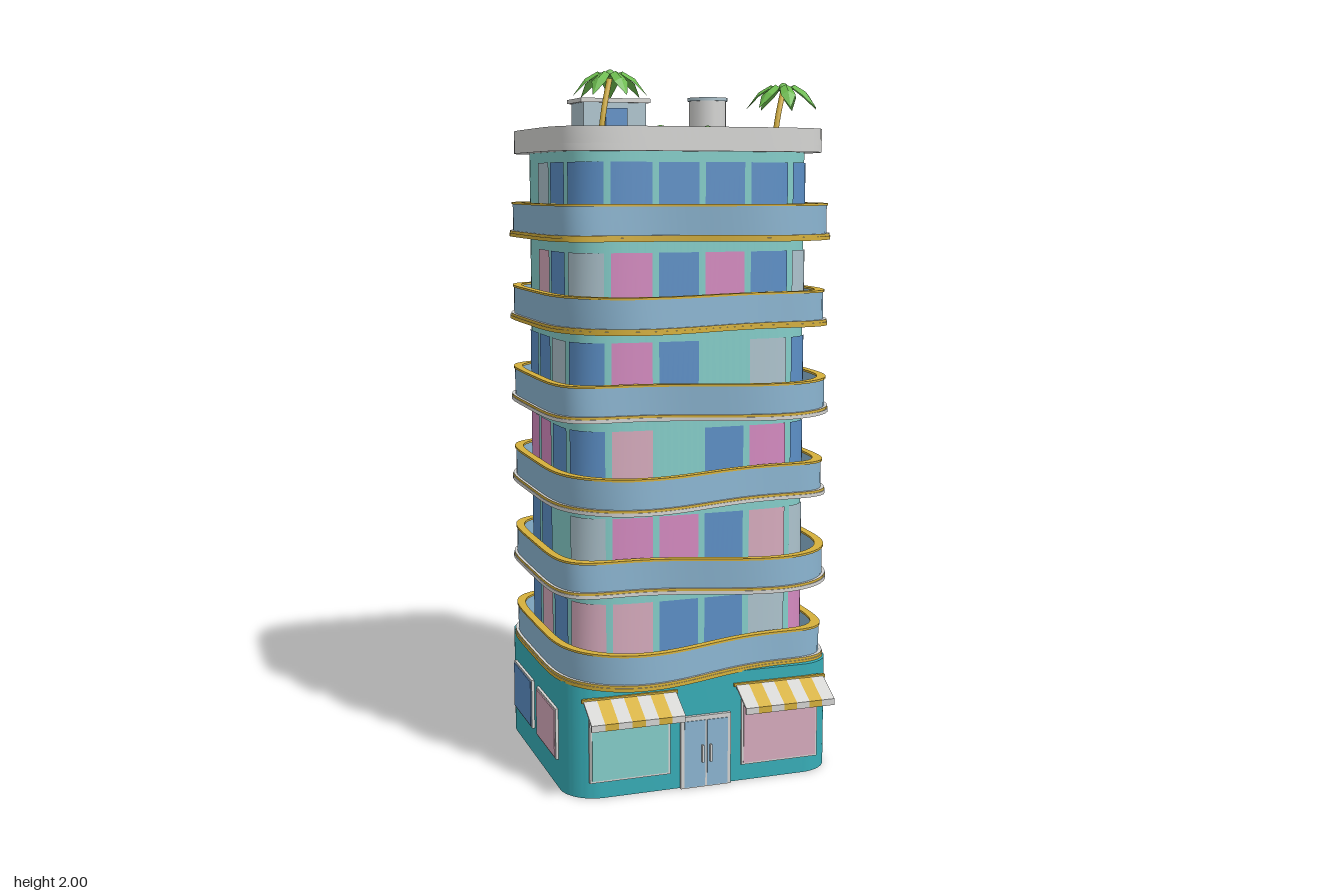
import * as THREE from 'three';
import { toCreasedNormals } from 'three/addons/utils/BufferGeometryUtils.js';

const CZ = -0.04; // tower centre in z

export function createModel() {
  const mat = (name, color, side = THREE.FrontSide) => {
    const m = new THREE.MeshStandardMaterial({ color, side });
    m.name = name;
    return m;
  };
  const teal = mat('teal', 0x37adb7);
  const glass = mat('aqua glass', 0x84cdc9);
  const blue = mat('blue glass', 0x5c8fc6);
  const pink = mat('pink glass', 0xd48ac0);
  const rose = mat('pale pink glass', 0xd6abbd);
  const pale = mat('pale grey blue', 0xadc3cd);
  const sky = mat('balcony blue', 0x8bb5d1);
  const gold = mat('gold', 0xd5b03c);
  const grey = mat('light grey', 0xd4d4d2);
  const green = mat('leaf green', 0x6cbb4e, THREE.DoubleSide);

  const root = new THREE.Group();
  root.name = 'tower';
  const add = (name, geo, material, x = 0, y = 0, z = 0, parent = root) => {
    const m = new THREE.Mesh(geo, material);
    m.name = name;
    m.position.set(x, y, z);
    parent.add(m);
    return m;
  };
  const box = (name, w, h, d, material, x, y, z, parent) =>
    add(name, new THREE.BoxGeometry(w, h, d), material, x, y, z, parent);

  // Squarish oval outline, optionally with a wavy front (wave = +1 or -1)
  const outline = (a, b, wave = 0, start = 0, count = 120) => {
    const n = 5, pts = [];
    for (let i = 0; i < count; i++) {
      const t = start + (i / count) * Math.PI * 2;
      const s = Math.sin(t), c = Math.cos(t);
      const r = Math.pow(Math.abs(s) ** n + Math.abs(c) ** n, -1 / n);
      const x = a * r * s, front = Math.max(0, r * c) ** 2;
      const bulge = wave ? front * (0.025 + 0.047 * wave * Math.sin((Math.PI * x) / 0.42)) : 0;
      pts.push(new THREE.Vector2(x, -(CZ + b * r * c + bulge)));
    }
    return pts;
  };
  // Vertical extrusion of an outline from y0 to y1, with an optional hole
  const slab = (name, pts, y0, y1, material, hole) => {
    const shape = new THREE.Shape(pts);
    if (hole) shape.holes.push(new THREE.Path(hole));
    const g = new THREE.ExtrudeGeometry(shape, { depth: y1 - y0, bevelEnabled: false, curveSegments: 10 });
    g.rotateX(-Math.PI / 2);
    return add(name, toCreasedNormals(g, 0.6), material, 0, y0, 0);
  };

  // Ground floor with rounded corners
  const base = new THREE.Shape();
  const X = 0.4, F = -0.32, B = 0.4, R = 0.1;
  base.moveTo(-X + R, F).lineTo(X - R, F);
  base.absarc(X - R, F + R, R, -Math.PI / 2, 0);
  base.absarc(X - R, B - R, R, 0, Math.PI / 2);
  base.absarc(-X + R, B - R, R, Math.PI / 2, Math.PI);
  base.absarc(-X + R, F + R, R, Math.PI, Math.PI * 1.5);
  slab('groundFloor', base.getPoints(10), 0, 0.325, teal);

  // Tower core
  slab('towerCore', outline(0.36, 0.305), 0.32, 1.785, glass);

  // Curved window panels: 18 per floor, running front, +x side, back, -x side
  const colours = { b: blue, k: pink, l: rose, p: pale };
  const floors = [
    'lbbpkkbplpblbkblbl',
    'kkblpbbkpbgbgbbbgp',
    'lgbkblbplpblbbkkbb',
    'kbgpbbpkpbkblpbbpb',
    'kbkbpblpbbbbbkglbp',
    'bbbbbbbgbbgkkbgpbb',
  ];
  const ring = new THREE.CatmullRomCurve3(
    outline(0.363, 0.308, 0, -0.626).map((p) => new THREE.Vector3(p.x, 0, -p.y)), true);
  ring.arcLengthDivisions = 720;
  const panel = (u0, u1, y0, y1) => {
    const pos = [], idx = [], steps = 8;
    for (let i = 0; i <= steps; i++) {
      const p = ring.getPointAt((u0 + ((u1 - u0) * i) / steps) % 1);
      pos.push(p.x, y0, p.z, p.x, y1, p.z);
      const k = i * 2;
      if (i < steps) idx.push(k, k + 2, k + 3, k, k + 3, k + 1);
    }
    const g = new THREE.BufferGeometry();
    g.setAttribute('position', new THREE.Float32BufferAttribute(pos, 3));
    g.setIndex(idx);
    g.computeVertexNormals();
    return g;
  };

  floors.forEach((row, f) => {
    const y = 0.322 + f * 0.2435, wave = f % 2 ? 1 : -1;
    [...row].forEach((c, i) => {
      if (colours[c]) add('windowPanel', panel(i / 18, (i + 0.86) / 18, y + 0.04, y + 0.212), colours[c]);
    });
    // Wavy balcony: floor plate, gold trim, parapet and rail
    const greyEdge = f > 0 && f < 4;
    slab('balconyFloor', outline(0.415, 0.37, wave), y, y + 0.01, greyEdge ? grey : [grey, gold]);
    slab('balconyTrim', outline(0.413, 0.368, wave), y + 0.01, y + 0.017, [grey, gold]);
    const inner = outline(0.388, 0.343, wave);
    slab('balconyParapet', outline(0.405, 0.36, wave), y + 0.017, y + 0.094, sky, inner);
    slab('balconyRail', outline(0.408, 0.363, wave), y + 0.094, y + 0.1, gold, outline(0.385, 0.34, wave));
  });

  // Roof
  slab('roofSlab', outline(0.4, 0.35), 1.78, 1.8, grey);
  slab('roofParapet', outline(0.4, 0.35), 1.8, 1.845, grey, outline(0.384, 0.334));
  slab('roofDeck', outline(0.386, 0.336), 1.8, 1.81, gold);

  // Stair house
  box('stairHouse', 0.19, 0.12, 0.13, pale, -0.125, 1.868, -0.18);
  box('stairHouseRoof', 0.21, 0.012, 0.15, grey, -0.125, 1.932, -0.18);
  box('stairHouseDoor', 0.065, 0.1, 0.008, blue, -0.122, 1.86, -0.113);

  // Water tank
  add('tankStand', new THREE.CylinderGeometry(0.045, 0.045, 0.04, 14), pale, 0.18, 1.83, -0.165);
  add('waterTank', new THREE.CylinderGeometry(0.056, 0.056, 0.088, 14), grey, 0.18, 1.892, -0.165);
  add('tankLid', new THREE.CylinderGeometry(0.06, 0.06, 0.01, 14), pale, 0.18, 1.941, -0.165);

  // Drooping folded palm leaf from cross-sections [distance, height, half width]
  const leafGeo = () => {
    const sections = [[0, 0, 0.006], [0.035, 0.014, 0.017], [0.07, -0.006, 0.021], [0.104, -0.052, 0.001]];
    const pos = [], idx = [];
    sections.forEach(([d, h, w], i) => {
      pos.push(-w, h - w * 0.5, d, 0, h, d, w, h - w * 0.5, d);
      const k = i * 3;
      if (i < 3) for (const j of [k, k + 1]) idx.push(j, j + 3, j + 4, j, j + 4, j + 1);
    });
    const g = new THREE.BufferGeometry();
    g.setAttribute('position', new THREE.Float32BufferAttribute(pos, 3));
    g.setIndex(idx);
    return toCreasedNormals(g, 0.3);
  };
  const palm = (x, z, top, turn) => {
    const tree = new THREE.Group();
    tree.name = 'palmTree';
    root.add(tree);
    const path = new THREE.CatmullRomCurve3([
      new THREE.Vector3(x - 0.035, 1.805, z + 0.02),
      new THREE.Vector3(x - 0.022, (1.805 + top) / 2, z + 0.015),
      new THREE.Vector3(x, top, z)]);
    add('palmTrunk', new THREE.TubeGeometry(path, 8, 0.008, 7), gold, 0, 0, 0, tree);
    add('palmCrown', new THREE.SphereGeometry(0.014, 10, 8), green, x, top + 0.006, z, tree);
    for (let i = 0; i < 7; i++) {
      add('palmLeaf', leafGeo(), green, x, top, z, tree).rotation.y = turn + (i / 7) * Math.PI * 2;
    }
  };
  palm(-0.213, 0.125, 1.982, 0.15);
  palm(0.295, 0.14, 1.955, -0.2);
  for (const x of [-0.092, 0.045]) add('bush', new THREE.SphereGeometry(0.03, 8, 6), green, x, 1.822, 0.2);

  // Framed shop windows; the side is given by the rotation of the group
  const shopWindow = (w, h, material, x, y, z, rot) => {
    const g = new THREE.Group();
    g.name = 'shopWindow';
    g.position.set(x, y, z);
    g.rotation.y = rot;
    root.add(g);
    box('windowFrame', w, h, 0.012, grey, 0, 0, 0, g);
    box('windowPane', w - 0.012, h - 0.012, 0.006, material, 0, 0, 0.006, g);
  };
  shopWindow(0.235, 0.2, glass, -0.225, 0.148, 0.32, 0);
  shopWindow(0.235, 0.2, rose, 0.225, 0.148, 0.32, 0);
  shopWindow(0.216, 0.148, pale, 0.402, 0.158, 0.098, Math.PI / 2);
  shopWindow(0.216, 0.148, rose, 0.402, 0.158, -0.175, Math.PI / 2);
  shopWindow(0.216, 0.148, rose, -0.402, 0.158, 0.098, -Math.PI / 2);
  shopWindow(0.216, 0.148, blue, -0.402, 0.158, -0.175, -Math.PI / 2);

  // Striped awnings
  for (const x of [-0.225, 0.225]) {
    const awning = new THREE.Group();
    awning.name = 'awning';
    awning.position.set(x, 0.286, 0.322);
    root.add(awning);
    box('awningBar', 0.28, 0.01, 0.01, gold, 0, 0, 0, awning);
    const w = 0.27 / 7;
    for (let i = 0; i < 7; i++) {
      const m = i % 2 ? gold : grey, sx = (i - 3) * w;
      box('awningStripe', w, 0.006, 0.095, m, sx, -0.023, 0.041, awning).rotation.x = 0.5;
      box('awningValance', w, 0.018, 0.005, m, sx, -0.053, 0.081, awning);
    }
  }

  // Double entrance door
  box('doorFrame', 0.15, 0.21, 0.02, grey, -0.002, 0.105, 0.321);
  for (const s of [-1, 1]) {
    box('doorLeaf', 0.062, 0.194, 0.008, sky, -0.002 + s * 0.034, 0.1, 0.329);
    box('doorHandle', 0.006, 0.05, 0.008, grey, -0.002 + s * 0.012, 0.1, 0.337);
  }
  return root;
}
